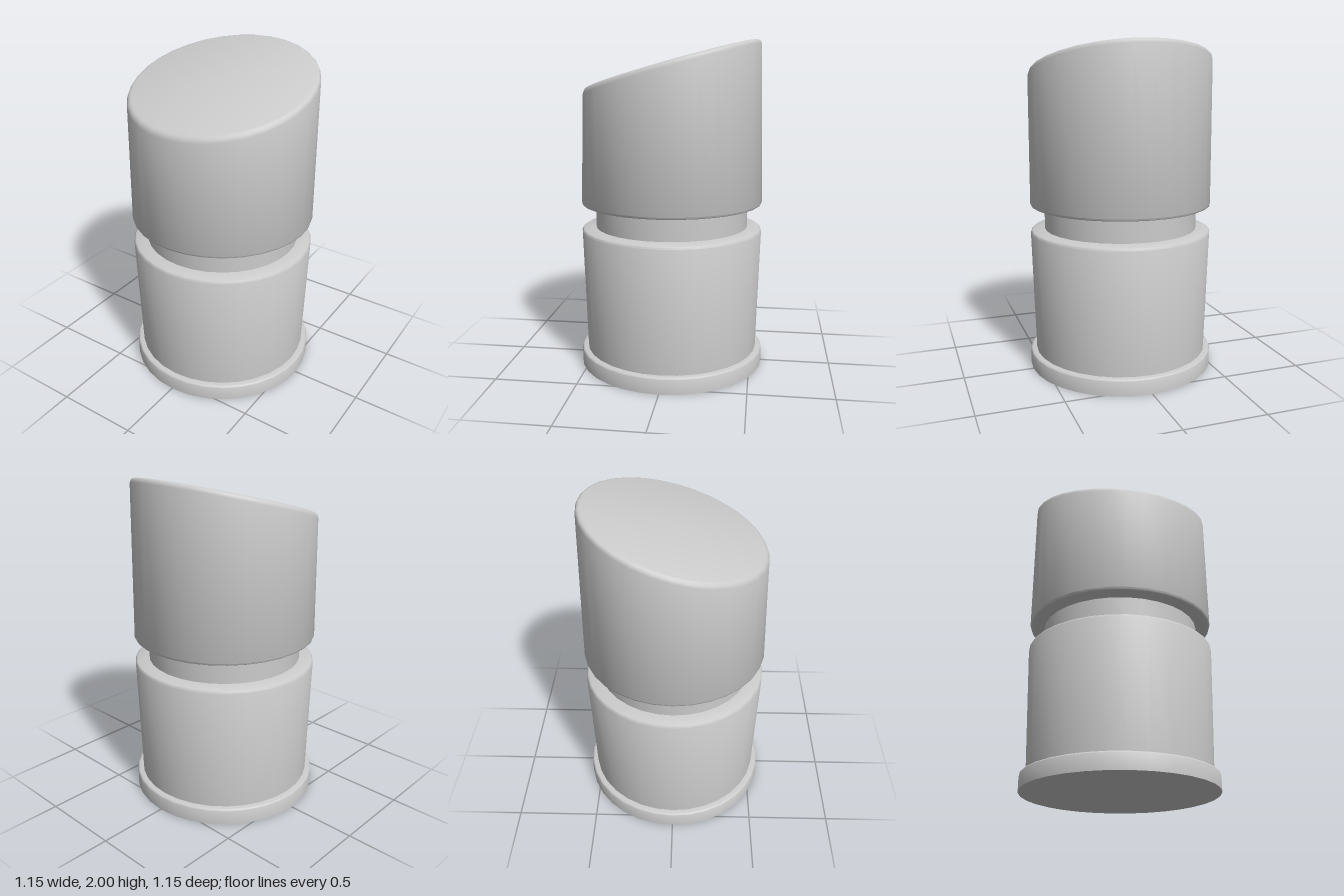
import * as THREE from 'three';
import { toCreasedNormals } from 'three/addons/utils/BufferGeometryUtils.js';

const SIDES = 32;
const SLOPE = 0.277; // rise of the slanted cap top towards the back
const SQUEEZE = 0.963; // depth of the tilted top ring

const material = new THREE.MeshStandardMaterial({ color: 0xcccccc });

// Turned part from [radius, height] pairs, listed bottom to top
function turned(name, profile, deform) {
  const geometry = new THREE.LatheGeometry(
    profile.map(([r, y]) => new THREE.Vector2(r, y)), SIDES);
  if (deform) deform(geometry.attributes.position);
  const mesh = new THREE.Mesh(toCreasedNormals(geometry, 0.8), material);
  mesh.name = name;
  return mesh;
}

// Tilt the upper rings so the cap is highest at the back
function slantTop(position) {
  for (let i = 0; i < position.count; i++) {
    const y = position.getY(i);
    if (y < 1.5) continue;
    const z = position.getZ(i) * SQUEEZE;
    position.setZ(i, z);
    position.setY(i, y - SLOPE * z);
  }
}

export function createModel() {
  const group = new THREE.Group();
  group.name = 'bottle';

  // Flat foot with a slightly bevelled rim
  group.add(turned('base', [
    [0, 0], [0.573, 0], [0.573, 0.088], [0.569, 0.096], [0.56, 0.1], [0.5, 0.1],
  ]));

  // Body, widening gently to a soft shoulder
  group.add(turned('body', [
    [0.535, 0.1], [0.557, 0.85], [0.554, 0.859], [0.545, 0.865], [0.46, 0.873],
  ]));

  // Narrow neck between body and cap
  group.add(turned('neck', [[0.47, 0.865], [0.47, 1.02]]));

  // Cap with a rounded, slanted top
  group.add(turned('cap', [
    [0.46, 1.008], [0.545, 1.016], [0.554, 1.021], [0.557, 1.03],
    [0.556, 1.828], [0.551, 1.844], [0.542, 1.854], [0.528, 1.859], [0, 1.859],
  ], slantTop));

  return group;
}
